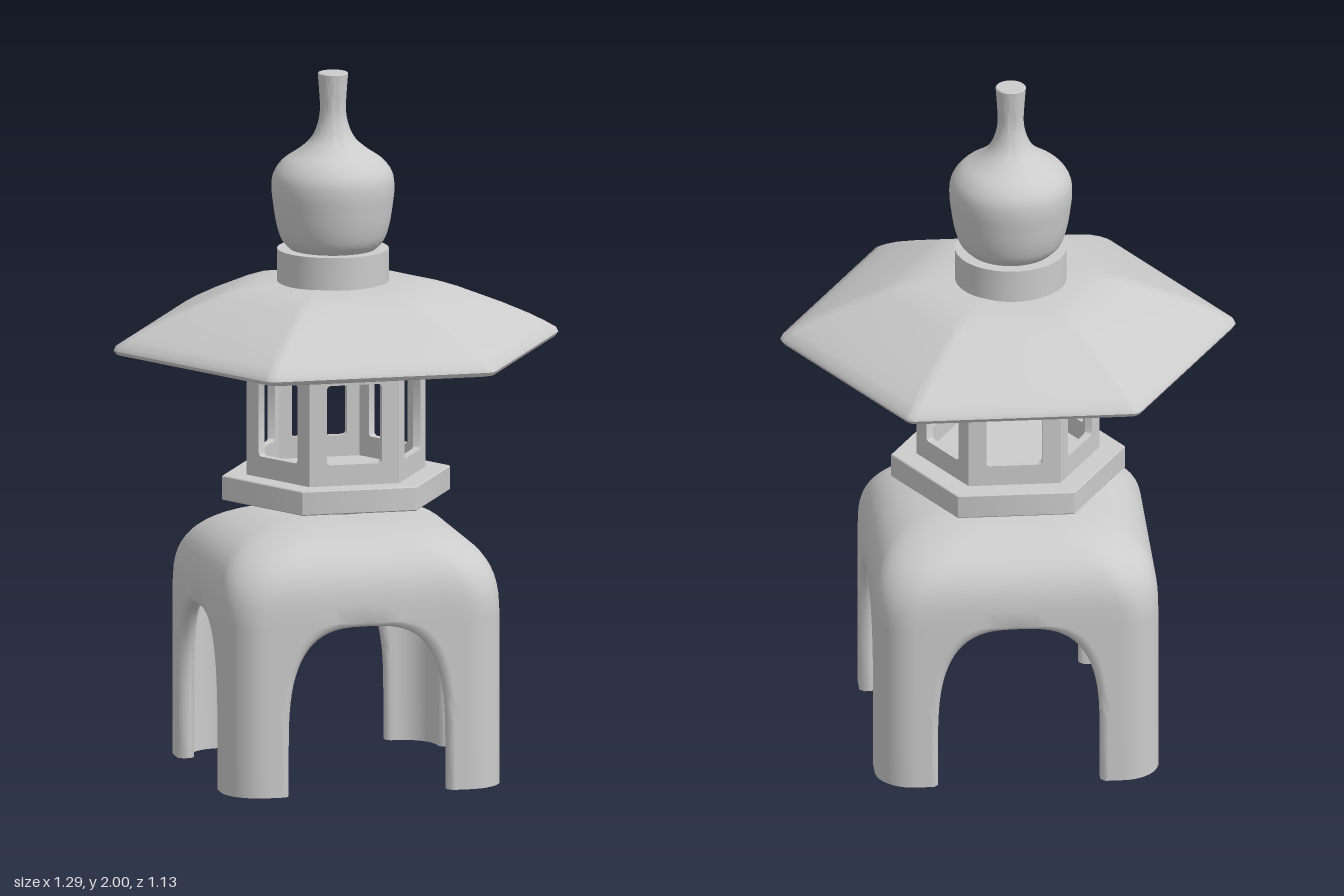
import * as THREE from 'three';
import { mergeGeometries, toCreasedNormals } from 'three/addons/utils/BufferGeometryUtils.js';

const stone = new THREE.MeshStandardMaterial({ color: 0xcccccc, roughness: 0.9 });
const V = (x, y, z) => new THREE.Vector3(x, y, z);

// Skin a list of rows (each a list of points); rows run upward, points counter-clockwise from above
function grid(rows) {
  const n = rows[0].length, index = [];
  for (let i = 0; i < rows.length - 1; i++) {
    for (let j = 0; j < n - 1; j++) {
      const a = i * n + j, b = a + n;
      index.push(a, a + 1, b, a + 1, b + 1, b);
    }
  }
  const geo = new THREE.BufferGeometry().setFromPoints(rows.flat());
  geo.setIndex(index);
  return geo;
}

function part(name, geo, crease = 0.6) {
  const mesh = new THREE.Mesh(toCreasedNormals(geo, crease), stone);
  mesh.name = name;
  return mesh;
}

// Hexagon outline with softened corners, corners on the x axis
function hexRing(R, y, soft) {
  const pts = [];
  const corner = k => V(R * Math.sin(k * Math.PI / 3 + Math.PI / 6), y, R * Math.cos(k * Math.PI / 3 + Math.PI / 6));
  for (let k = 0; k < 6; k++) {
    const c = corner(k), t = R ? Math.min(soft / R, 0.4) : 0;
    const p = c.clone().lerp(corner(k - 1), t), q = c.clone().lerp(corner(k + 1), t);
    pts.push(...new THREE.QuadraticBezierCurve3(p, c, q).getPoints(4));
  }
  pts.push(pts[0].clone());
  return pts;
}
const hexSolid = (profile, soft) => grid(profile.map(([R, y]) => hexRing(R, y, soft)));

// One quarter of a rounded square, from the front edge (x = a) round to the left edge (z = a)
function quarterRing(h, y, a, round) {
  const r = h * round, m = h - r, pts = [];
  for (let i = 0; i < 6; i++) pts.push(V(a + (m - a) * i / 6, y, h));
  for (let i = 0; i <= 10; i++) {
    const t = i / 10 * Math.PI / 2;
    pts.push(V(m + r * Math.sin(t), y, m + r * Math.cos(t)));
  }
  for (let i = 5; i >= 0; i--) pts.push(V(h, y, a + (m - a) * i / 6));
  return pts;
}

// Four-legged base: a thin rounded shell with a soft-edged arch cut in each side
function baseGeometry() {
  const steps = 18, soft = 0.013, outerHalf = 0.402, innerHalf = 0.355;
  const archCurve = grow => {
    const pts = [[0, 0.23 + grow]];
    for (let i = 0; i <= steps; i++) {
      const t = i / steps * Math.PI / 2;
      pts.push([0.12 + (0.36 + grow) * Math.sin(t) ** (2 / 3), i < steps ? (0.23 + grow) * Math.cos(t) ** (2 / 3) : 0]);
    }
    return pts;
  };
  const arch = archCurve(soft), lip = archCurve(0), spring = 0.48 + soft;
  const shell = (h, top) => {
    const rows = arch.map(([y, a]) => quarterRing(h, y, a, 0.27));
    for (let i = 1; i <= steps; i++) {
      const t = i / steps * Math.PI / 2;
      const w = i < steps ? h * Math.cos(t) ** (2 / 3) : 0;
      rows.push(quarterRing(w, spring + (top - spring) * Math.sin(t) ** (2 / 3), 0, 0.27 + 0.35 * i / steps));
    }
    return rows;
  };
  const outer = shell(outerHalf, 0.74), inner = shell(innerHalf, 0.685), last = outer[0].length - 1;
  const near = innerHalf + soft, far = outerHalf - soft;
  const [foot] = lip;
  const quarter = mergeGeometries([
    grid(outer),
    grid(inner.map(row => [...row].reverse())),
    // Rounded arch edges
    grid(lip.map(([y, a], i) => [inner[i][0], V(a, y, near), V(a, y, far), outer[i][0]])),
    grid(lip.map(([y, a], i) => [outer[i][last], V(far, y, a), V(near, y, a), inner[i][last]])),
    // Sole of the leg
    grid([
      [V(foot[1], 0, near), ...inner[0], V(near, 0, foot[1])],
      [V(foot[1], 0, far), ...outer[0], V(far, 0, foot[1])],
    ]),
  ]);
  return mergeGeometries([0, 1, 2, 3].map(k => quarter.clone().rotateY(k * Math.PI / 2)));
}

// Window wall of the light chamber, facing +z
function wallGeometry(bottom, top) {
  const w = 0.13, depth = 0.022, s = new THREE.Shape();
  s.moveTo(-w, bottom).lineTo(w, bottom).lineTo(w, top).lineTo(-w, top).closePath();
  const hole = new THREE.Path(), x = 0.08, y0 = 0.915, y1 = 1.143, r = 0.012;
  hole.absarc(x - r, y0 + r, r, -Math.PI / 2, 0);
  hole.absarc(x - r, y1 - r, r, 0, Math.PI / 2);
  hole.absarc(-x + r, y1 - r, r, Math.PI / 2, Math.PI);
  hole.absarc(-x + r, y0 + r, r, Math.PI, Math.PI * 1.5);
  hole.closePath();
  s.holes.push(hole);
  return new THREE.ExtrudeGeometry(s, { depth, bevelEnabled: false, curveSegments: 4 })
    .translate(0, 0, 0.26 * Math.cos(Math.PI / 6) - depth);
}

const lathe = pts => new THREE.LatheGeometry(pts.map(p => new THREE.Vector2(...p)), 48);

export function createModel() {
  const model = new THREE.Group();
  model.name = 'stoneLantern';

  model.add(part('leggedBase', baseGeometry(), 0.9));

  // Shallow bowl between base and platform
  model.add(part('platformFoot', lathe([[0, 0.735], [0.09, 0.745], [0.15, 0.757], [0.195, 0.772], [0.215, 0.79], [0, 0.795]]), 0.8));

  model.add(part('platform', hexSolid(
    [[0, 0.785], [0.329, 0.785], [0.332, 0.788], [0.332, 0.852], [0.329, 0.855], [0, 0.855]], 0.003), 0.4));

  // Six-sided light chamber
  const chamber = new THREE.Group();
  chamber.name = 'lightChamber';
  const wall = wallGeometry(0.85, 1.22);
  for (let k = 0; k < 6; k++) {
    const mesh = part('windowWall', wall, 0.5);
    mesh.rotation.y = k * Math.PI / 3;
    chamber.add(mesh);
  }
  model.add(chamber);

  // Domed hexagonal roof with a flat underside
  model.add(part('roof', hexSolid([
    [0, 1.212], [0.3, 1.212], [0.62, 1.212], [0.642, 1.217], [0.65, 1.228], [0.644, 1.24],
    [0.61, 1.26], [0.57, 1.281], [0.49, 1.317], [0.41, 1.349], [0.36, 1.369], [0.305, 1.387], [0.24, 1.397], [0.16, 1.402], [0, 1.402],
  ], 0.02), 0.7));

  // Finial: collar and bottle-shaped jewel
  const finial = new THREE.Group();
  finial.name = 'finial';
  finial.position.set(-0.007, 0, -0.008);
  finial.add(part('collar', new THREE.CylinderGeometry(0.158, 0.158, 0.107, 48).translate(0, 1.4415, 0)));
  const side = new THREE.SplineCurve([
    [0.122, 1.495], [0.145, 1.52], [0.16, 1.565], [0.169, 1.62], [0.174, 1.67], [0.168, 1.712], [0.142, 1.748],
    [0.1, 1.777], [0.065, 1.808], [0.046, 1.845], [0.037, 1.89], [0.039, 1.945], [0.043, 1.997],
  ].map(p => new THREE.Vector2(...p))).getPoints(48).map(p => [p.x, p.y]);
  finial.add(part('jewel', lathe([[0, 1.49], ...side, [0.04, 2], [0, 2]])));
  model.add(finial);

  return model;
}
